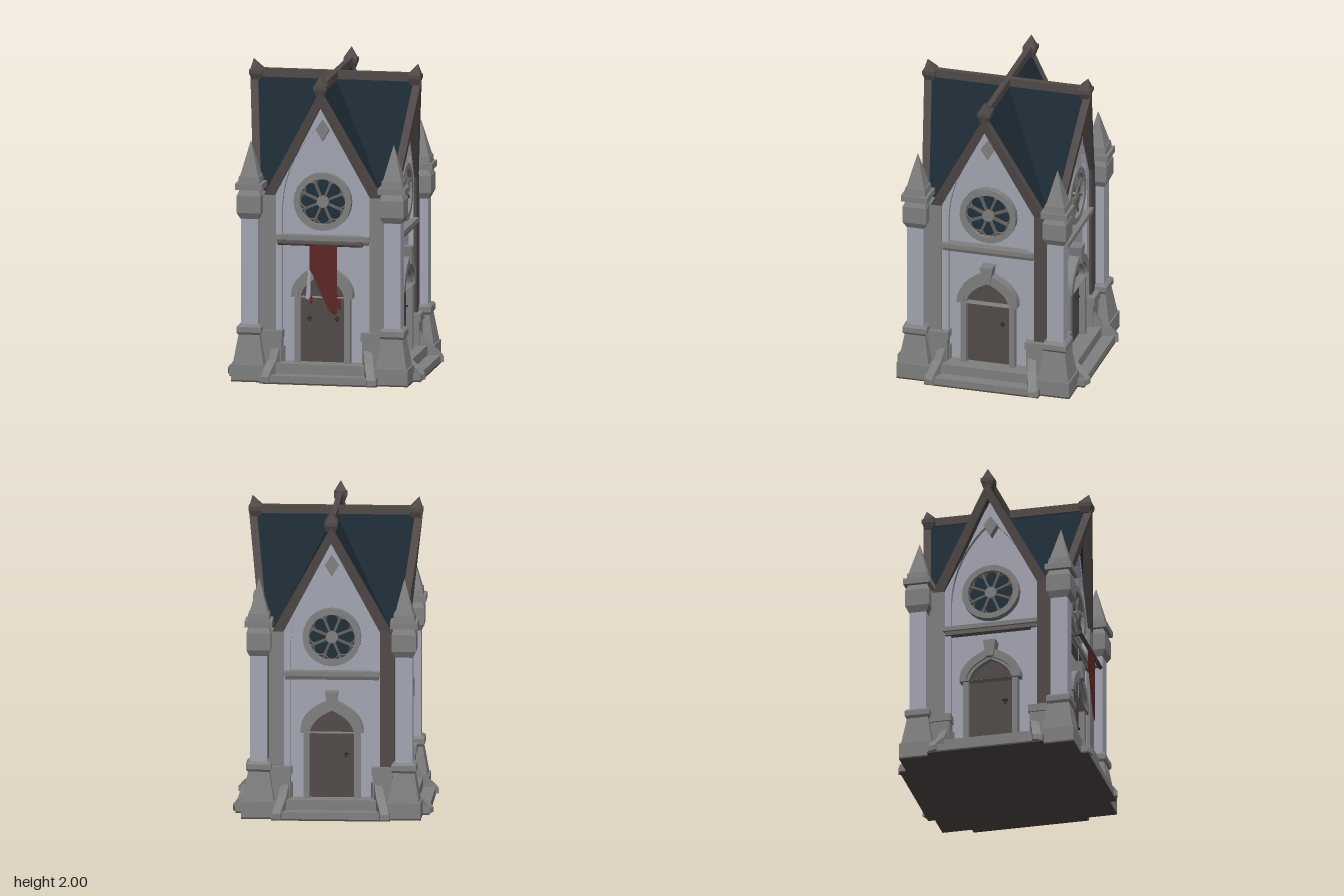
import * as THREE from 'three';

const mat = (name, color, side = THREE.FrontSide) => {
  const m = new THREE.MeshStandardMaterial({ color, flatShading: true, side });
  m.name = name;
  return m;
};
const M = {
  wall: mat('paleWall', 0xa3a5b2),
  stone: mat('greyStone', 0x808080),
  darkStone: mat('darkStone', 0x67625f),
  trim: mat('brownTrim', 0x514a48),
  roof: mat('slateRoof', 0x1c2933, THREE.DoubleSide),
  glass: mat('blueGlass', 0x1f303c),
  door: mat('doorWood', 0x524b49),
  iron: mat('iron', 0x35302f),
  cloth: mat('redCloth', 0x5f2727, THREE.DoubleSide),
};

function add(parent, name, geo, material, x = 0, y = 0, z = 0) {
  const m = new THREE.Mesh(geo, material);
  m.name = name;
  m.position.set(x, y, z);
  parent.add(m);
  return m;
}
// Box given by its x centre, width, y range and z range
const box = (p, name, material, x, w, y0, y1, z0, z1) =>
  add(p, name, new THREE.BoxGeometry(w, y1 - y0, z1 - z0), material, x, (y0 + y1) / 2, (z0 + z1) / 2);

// Upright tapered square block with half widths at bottom and top
function taper(p, name, material, x, z, y0, y1, hb, ht) {
  const g = new THREE.CylinderGeometry(ht * Math.SQRT2, hb * Math.SQRT2, y1 - y0, 4);
  g.rotateY(Math.PI / 4);
  return add(p, name, g, material, x, (y0 + y1) / 2, z);
}
const poly = pts => new THREE.Shape(pts.map(p => new THREE.Vector2(...p)));
const extrude = (shape, depth) =>
  new THREE.ExtrudeGeometry(shape, { depth, bevelEnabled: false, curveSegments: 8 });

// Arch outline with straight jambs and a slightly pointed head
function arch(Type, w, y0, spring, top) {
  const s = new Type();
  const h = top - spring;
  s.moveTo(-w, y0);
  s.lineTo(w, y0);
  s.lineTo(w, spring);
  s.quadraticCurveTo(w * 0.93, spring + h * 0.62, 0, top);
  s.quadraticCurveTo(-w * 0.93, spring + h * 0.62, -w, spring);
  s.closePath();
  return s;
}

function roseWindow(p) {
  const g = new THREE.Group();
  g.name = 'roseWindow';
  g.position.set(0, 1.165, 0.42);
  p.add(g);
  const ring = new THREE.Shape().absarc(0, 0, 0.187, 0, Math.PI * 2);
  ring.holes.push(new THREE.Path().absarc(0, 0, 0.148, 0, Math.PI * 2, true));
  add(g, 'windowRing', new THREE.ExtrudeGeometry(ring, { depth: 0.048, bevelEnabled: false, curveSegments: 12 }), M.stone);
  add(g, 'glass', new THREE.CircleGeometry(0.155, 24), M.glass, 0, 0, 0.016);
  for (let i = 0; i < 8; i++) {
    const a = i * Math.PI / 4 + Math.PI / 8;
    const s = add(g, 'spoke', new THREE.BoxGeometry(0.12, 0.015, 0.022), M.darkStone,
      Math.cos(a) * 0.095, Math.sin(a) * 0.095, 0.024);
    s.rotation.z = a;
    const b = a + Math.PI / 8;
    const c = add(g, 'tracery', new THREE.TorusGeometry(0.045, 0.007, 4, 8, Math.PI), M.darkStone,
      Math.cos(b) * 0.105, Math.sin(b) * 0.105, 0.02);
    c.rotation.z = b - Math.PI / 2;
  }
  const hub = add(g, 'hub', new THREE.CylinderGeometry(0.04, 0.04, 0.028, 8), M.stone, 0, 0, 0.026);
  hub.rotation.x = Math.PI / 2;
}

function doorway(p, front) {
  const g = new THREE.Group();
  g.name = 'doorway';
  p.add(g);
  add(g, 'door', extrude(arch(THREE.Shape, 0.15, 0.12, 0.54, 0.7), 0.02), M.door, 0, 0, 0.41);
  const jamb = arch(THREE.Shape, 0.18, 0.12, 0.53, 0.75);
  jamb.holes.push(arch(THREE.Path, 0.142, 0.121, 0.54, 0.69));
  add(g, 'doorFrame', extrude(jamb, 0.06), M.stone, 0, 0, 0.41);
  const hood = arch(THREE.Shape, 0.2, 0.545, 0.575, 0.765);
  hood.holes.push(arch(THREE.Path, 0.155, 0.546, 0.56, 0.705));
  add(g, 'doorHood', extrude(hood, 0.075), M.stone, 0, 0, 0.41);
  add(g, 'keystone', extrude(poly([[-0.025, 0.7], [0.025, 0.7], [0.042, 0.815], [-0.042, 0.815]]), 0.09), M.stone, 0, 0, 0.41);
  for (const x of front ? [-0.09, 0.09] : [0.09]) {
    add(g, 'handlePlate', new THREE.BoxGeometry(0.014, 0.035, 0.006), M.iron, x, 0.4, 0.433);
    add(g, 'doorHandle', new THREE.BoxGeometry(0.034, 0.01, 0.012), M.iron, x, 0.405, 0.441);
  }
}

function roofArm(p) {
  // Two slopes meeting the neighbouring arms in the valleys
  const pos = [];
  const ridge = [0, 1.89, 0.55], mid = [0, 1.89, 0];
  for (const s of [1, -1]) {
    const valley = [s * 0.375, 1.2, 0.375], eave = [s * 0.375, 1.2, 0.46];
    const tris = s > 0 ? [mid, ridge, eave, mid, eave, valley] : [mid, eave, ridge, mid, valley, eave];
    pos.push(...tris.flat());
  }
  const g = new THREE.BufferGeometry();
  g.setAttribute('position', new THREE.Float32BufferAttribute(pos, 3));
  g.computeVertexNormals();
  add(p, 'roofSlopes', g, M.roof);

  // Verge boards lean outwards towards the ridge
  const v = extrude(poly([[0, 1.9], [-0.383, 1.195], [-0.325, 1.17], [0, 1.79], [0.325, 1.17], [0.383, 1.195]]), 0.05);
  const a = v.attributes.position;
  for (let i = 0; i < a.count; i++) a.setZ(i, a.getZ(i) + 0.415 + 0.132 * (a.getY(i) - 1.2));
  v.computeVertexNormals();
  add(p, 'vergeBoards', v, M.trim);

  box(p, 'ridgeBeam', M.trim, 0, 0.036, 1.885, 1.94, 0, 0.53);
  taper(p, 'finialNeck', M.trim, 0, 0.515, 1.865, 1.905, 0.028, 0.042);
  taper(p, 'finialBlock', M.trim, 0, 0.517, 1.905, 1.93, 0.042, 0.042);
  const tip = taper(p, 'finialTip', M.trim, 0, 0.525, 1.925, 2.0, 0.042, 0.001);
  tip.rotation.x = 0.25;
}

function facade(k) {
  const f = new THREE.Group();
  f.name = 'facade' + k;
  f.rotation.y = k * Math.PI / 2;

  // Gabled wall, with a raised face around a pointed recess
  add(f, 'gableWall', extrude(poly([[-0.4, 0.1], [0.4, 0.1], [0.4, 1.12], [0.345, 1.2], [0, 1.83], [-0.345, 1.2], [-0.4, 1.12]]), 0.42), M.wall);
  const face = poly([[-0.33, 0.1], [0.33, 0.1], [0.33, 1.2], [0, 1.82], [-0.33, 1.2]]);
  face.holes.push(arch(THREE.Path, 0.265, 0.11, 1.12, 1.67));
  add(f, 'raisedWall', extrude(face, 0.035), M.wall, 0, 0, 0.415);
  add(f, 'gableDiamond', extrude(poly([[0, 1.56], [0.045, 1.635], [0, 1.7], [-0.045, 1.635]]), 0.06), M.stone, 0, 0, 0.41);
  box(f, 'stringCourse', M.stone, 0, 0.62, 0.915, 0.945, 0.41, 0.48);
  box(f, 'stringCourseUnder', M.darkStone, 0, 0.6, 0.89, 0.915, 0.41, 0.465);
  roseWindow(f);
  doorway(f, k === 0);

  // Steps and dark underside
  box(f, 'footing', M.trim, 0, 0.76, 0, 0.01, 0, 0.62);
  box(f, 'lowerStep', M.stone, 0, 0.76, 0.01, 0.055, 0, 0.62);
  box(f, 'upperStep', M.stone, 0, 0.66, 0.055, 0.12, 0, 0.54);

  for (const s of [-1, 1]) {
    const shade = k > 0 && s > 0 ? M.trim : M.stone;
    box(f, 'pilaster', shade, s * 0.355, 0.095, 0.3, 1.21, 0.38, 0.465);
    box(f, 'pilasterBase', M.stone, s * 0.325, 0.125, 0.05, 0.275, 0.38, 0.49);
    box(f, 'pilasterCap', M.stone, s * 0.325, 0.14, 0.275, 0.325, 0.38, 0.5);
    // Low raking buttress beside the steps
    const fin = extrude(poly([[0, 0.01], [0.235, 0.01], [0.235, 0.045], [0.2, 0.085], [0.13, 0.14], [0.085, 0.21], [0, 0.22]]), 0.055);
    fin.translate(0, 0, -0.0275);
    add(f, 'buttress', fin, M.stone, s * 0.275, 0, 0.41).rotation.y = -Math.atan2(0.22, s * 0.07);
  }
  roofArm(f);
  return f;
}

function cornerPier(x, z) {
  const p = new THREE.Group();
  p.name = 'cornerPier';
  p.position.set(x, 0, z);
  const t = (name, y0, y1, hb, ht, m = M.stone) => taper(p, name, m, 0, 0, y0, y1, hb, ht);
  t('footing', 0, 0.01, 0.11, 0.11, M.trim);
  t('plinth', 0.01, 0.11, 0.11, 0.11);
  t('plinthSlope', 0.11, 0.3, 0.1, 0.068);
  t('plinthBandLower', 0.3, 0.315, 0.07, 0.08);
  t('plinthBand', 0.315, 0.35, 0.08, 0.08);
  t('plinthBandTop', 0.35, 0.365, 0.08, 0.065);
  t('shaft', 0.34, 1.08, 0.055, 0.055, M.wall);
  t('capitalNeck', 1.05, 1.09, 0.058, 0.078);
  t('capital', 1.09, 1.2, 0.078, 0.078);
  t('capitalShoulder', 1.2, 1.24, 0.078, 0.062);
  t('capitalLedge', 1.24, 1.28, 0.088, 0.088);
  t('spireBlock', 1.28, 1.325, 0.07, 0.066);
  t('spire', 1.325, 1.55, 0.06, 0.001);
  return p;
}

function banner() {
  const b = new THREE.Group();
  b.name = 'banner';
  const rod = add(b, 'bannerRod', new THREE.CylinderGeometry(0.014, 0.014, 0.55, 8), M.trim, 0, 0.905, 0.54);
  rod.rotation.z = Math.PI / 2;
  for (const s of [-1, 1]) box(b, 'rodBracket', M.trim, s * 0.25, 0.015, 0.895, 0.915, 0.44, 0.54);
  const cloth = (name, m, z, pts) => add(b, name, new THREE.ShapeGeometry(poly(pts)), m, 0, 0, z);
  cloth('bannerCloth', M.cloth, 0.545, [[-0.07, 0.91], [0.11, 0.91], [0.11, 0.46], [0.095, 0.445],
    [0.06, 0.47], [0.02, 0.55], [-0.02, 0.64], [-0.05, 0.71], [-0.07, 0.74]]);
  cloth('tornCloth', M.cloth, 0.436, [[0.08, 0.58], [0.11, 0.54], [0.12, 0.46], [0.085, 0.47]]);
  cloth('clothScrap', M.cloth, 0.49, [[-0.072, 0.57], [-0.06, 0.55], [-0.06, 0.505], [-0.078, 0.51]]);
  cloth('paleLining', M.wall, 0.487, [[-0.11, 0.88], [-0.072, 0.88], [-0.072, 0.56], [-0.085, 0.53], [-0.105, 0.54], [-0.09, 0.7]]);
  return b;
}

export function createModel() {
  const g = new THREE.Group();
  g.name = 'chapel';
  box(g, 'baseFooting', M.trim, 0, 1.02, 0, 0.01, -0.51, 0.51);
  box(g, 'baseSlab', M.stone, 0, 1.02, 0.01, 0.1, -0.51, 0.51);
  for (let k = 0; k < 4; k++) g.add(facade(k));
  for (const x of [-1, 1]) for (const z of [-1, 1]) g.add(cornerPier(x * 0.465, z * 0.465));
  g.add(banner());
  return g;
}
